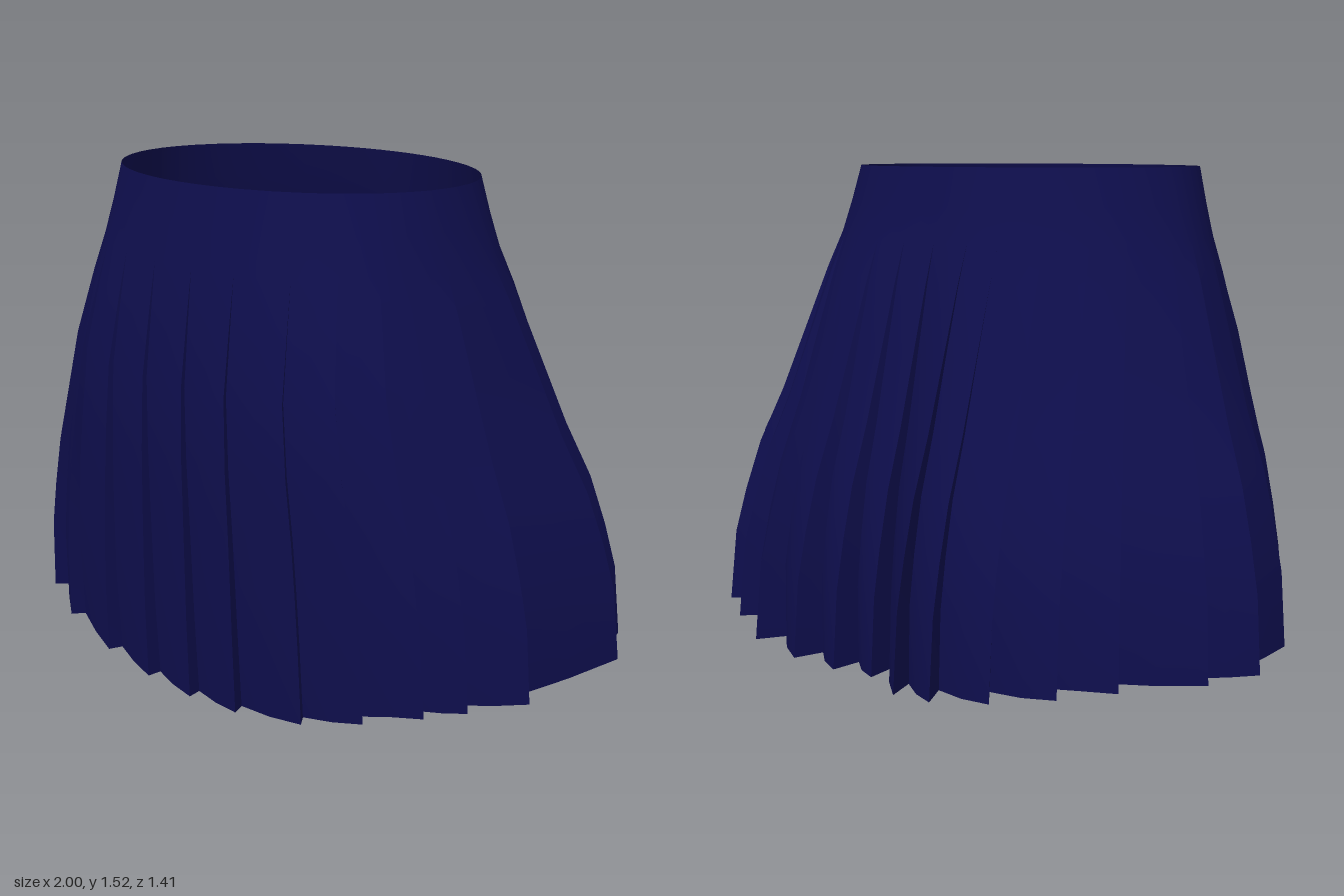
import * as THREE from 'three';
import { toCreasedNormals } from 'three/addons/utils/BufferGeometryUtils.js';

// Outer fold of every pleat at the hem (x, z), going round clockwise from above
const HEM = [
  [0, 0.7], [-0.18, 0.69], [-0.37, 0.67], [-0.58, 0.63], [-0.74, 0.55], [-0.82, 0.42], [-0.95, 0.17],
  [-1, -0.1], [-0.92, -0.26], [-0.75, -0.46], [-0.62, -0.57], [-0.45, -0.65], [-0.28, -0.7], [-0.15, -0.7],
  [0, -0.62], [0.13, -0.64], [0.28, -0.65], [0.46, -0.63], [0.62, -0.54], [0.75, -0.45], [0.92, -0.26],
  [1, -0.1], [0.93, 0.3], [0.82, 0.45], [0.74, 0.55], [0.59, 0.63], [0.41, 0.68], [0.18, 0.7],
];

// Rows from waist to hem: [drop, flare at sides and back, flare at the front]
const ROWS = [
  [0, 0, 0], [0.08, 0.07, 0.2], [0.15, 0.14, 0.4], [0.23, 0.25, 0.62], [0.37, 0.42, 0.97],
  [0.51, 0.59, 1.05], [0.63, 0.76, 1.05], [0.74, 0.87, 1.05], [0.84, 0.95, 1.05], [1, 1, 1],
];

const lerp = THREE.MathUtils.lerp;

// Point on the oval waist above a hem point
function waistPoint(x, z) {
  let a = Math.atan2(x, z / 0.7);
  a += 0.2 * Math.sin(2 * a);
  return [0.585 * Math.sin(a), 0.173 + 0.428 * Math.cos(a)];
}

// Hem dips at the centre front and slightly at the centre back
function hemHeight(x, z) {
  const low = z > 0 ? 0 : 0.045;
  return low + (0.11 - low) * Math.min(1, (x / 0.7) ** 2);
}

// Each pleat has an outer fold, a middle and a tucked inner fold under the next pleat
function pleatColumns() {
  const columns = [];
  HEM.forEach(([x, z], i) => {
    const [nx, nz] = HEM[(i + 1) % HEM.length];
    const depth = 0.07 - 0.04 * nz;
    columns.push({ x, z, depth: 0 });
    columns.push({ x: (x + nx) / 2, z: (z + nz) / 2, depth: depth * 0.4 });
    columns.push({ x: nx, z: nz, depth });
  });
  return columns;
}

function skirtGeometry() {
  const columns = pleatColumns();
  const n = columns.length;
  const positions = [];
  const index = [];
  ROWS.forEach(([drop, side, front], r) => {
    // Pleats open gradually below the waistband
    const open = Math.pow(Math.max(0, (drop - 0.15) / 0.85), 0.8);
    columns.forEach(({ x, z, depth }, c) => {
      const [wx, wz] = waistPoint(x, z);
      const flareZ = lerp(side, front, Math.max(0, z / 0.7));
      const tuck = 1 - (depth * open) / Math.hypot(x, z);
      positions.push(
        lerp(wx, x, side) * tuck,
        lerp(1.525, hemHeight(x, z), drop),
        lerp(wz, z, flareZ) * tuck,
      );
      if (r < ROWS.length - 1) {
        const a = r * n + c;
        const b = r * n + ((c + 1) % n);
        index.push(a, b, a + n, b, b + n, a + n);
      }
    });
  });
  const geometry = new THREE.BufferGeometry();
  geometry.setAttribute('position', new THREE.Float32BufferAttribute(positions, 3));
  geometry.setIndex(index);
  return toCreasedNormals(geometry, 0.7);
}

export function createModel() {
  const navyCloth = new THREE.MeshStandardMaterial({ color: 0x0e0e4c, side: THREE.DoubleSide });
  navyCloth.name = 'navy cloth';

  const skirt = new THREE.Mesh(skirtGeometry(), navyCloth);
  skirt.name = 'pleatedSkirt';

  const model = new THREE.Group();
  model.name = 'skirt';
  model.add(skirt);
  return model;
}
